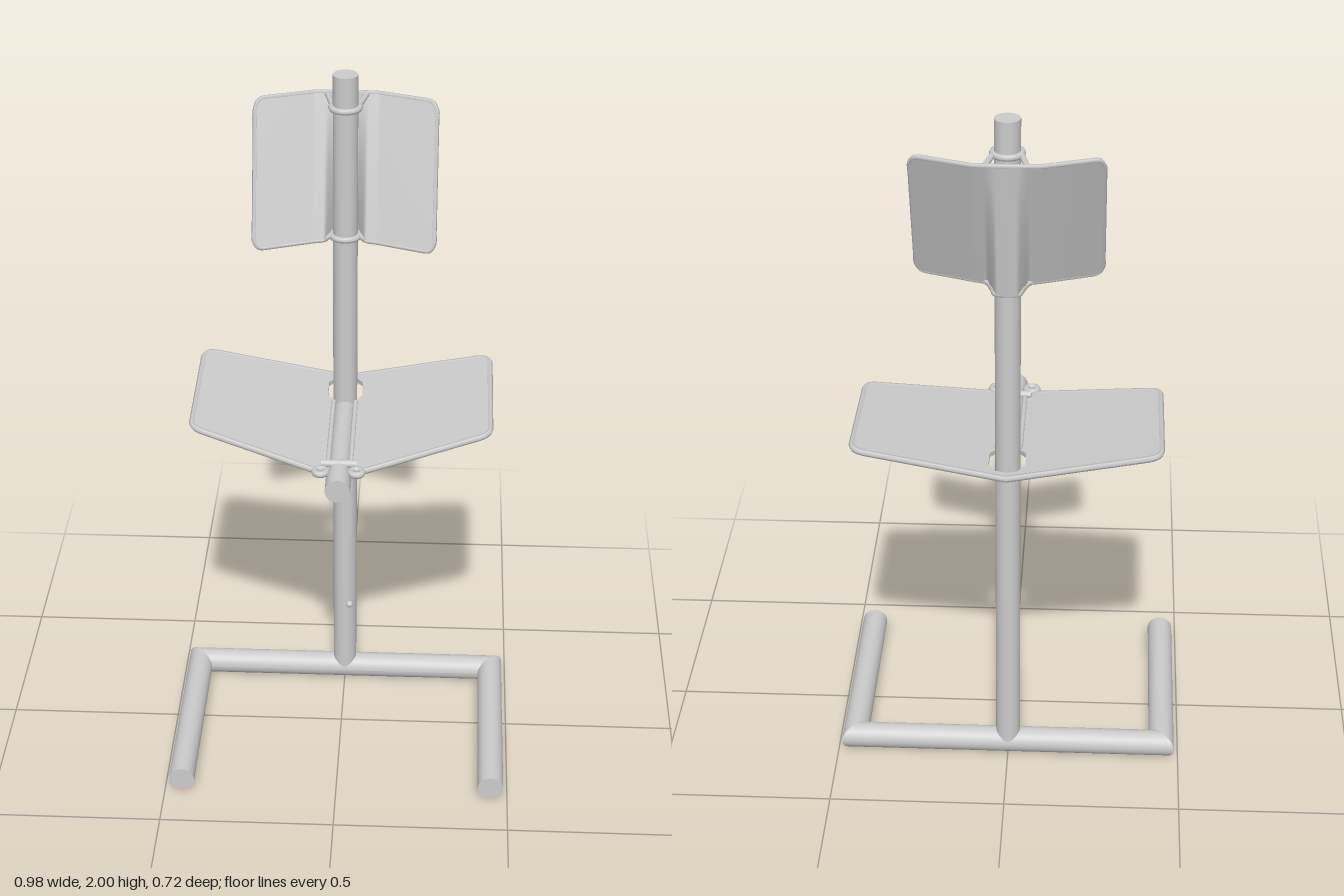
import * as THREE from 'three';

const mat = new THREE.MeshStandardMaterial({ color: 0xcccccc });
const R = 0.035, POST_Z = -0.239, BASE_Y = 0.038;

function add(parent, name, geo, x = 0, y = 0, z = 0) {
  const mesh = new THREE.Mesh(geo, mat);
  mesh.name = name;
  mesh.position.set(x, y, z);
  parent.add(mesh);
  return mesh;
}

// Move every vertex by a rule, then refresh the normals
function deform(geo, rule) {
  const p = geo.attributes.position, v = new THREE.Vector3();
  for (let i = 0; i < p.count; i++) {
    rule(v.fromBufferAttribute(p, i));
    p.setXYZ(i, v.x, v.y, v.z);
  }
  geo.computeVertexNormals();
  return geo;
}

// Round bar between two points
function bar(parent, name, a, b, r) {
  const from = new THREE.Vector3(...a), dir = new THREE.Vector3(...b).sub(from);
  const mesh = add(parent, name, new THREE.CylinderGeometry(r, r, dir.length(), 24));
  mesh.position.copy(from).addScaledVector(dir, 0.5);
  mesh.quaternion.setFromUnitVectors(new THREE.Vector3(0, 1, 0), dir.normalize());
  return mesh;
}

// Thin bead along a list of points
function bead(parent, name, pts, r, closed = false) {
  const curve = new THREE.CatmullRomCurve3(pts, closed);
  return add(parent, name, new THREE.TubeGeometry(curve, pts.length * 2, r, 6, closed));
}

function createBase() {
  const base = new THREE.Group();
  base.name = 'base';
  const r = 0.037, half = 0.451, front = 0.36;
  // Rear cross bar with mitred ends
  const cross = new THREE.CylinderGeometry(r, r, 2 * half, 32).rotateZ(Math.PI / 2);
  deform(cross, v => { v.x -= Math.sign(v.x) * v.z; });
  add(base, 'crossBar', cross, 0, BASE_Y, POST_Z);
  // Side legs running forward, mitred at the back
  const len = front - POST_Z;
  for (const s of [-1, 1]) {
    const leg = new THREE.CylinderGeometry(r, r, len, 32).rotateX(Math.PI / 2);
    deform(leg, v => { if (v.z < 0) v.z -= s * v.x; });
    add(base, s > 0 ? 'leftLeg' : 'rightLeg', leg, s * half, BASE_Y, POST_Z + len / 2);
  }
  return base;
}

// Height of the folded, tilted seat surface
const seatY = (x, z) => 0.985 + 0.19 * Math.abs(x) - 0.055 * z;

function createSeat() {
  const seat = new THREE.Group();
  seat.name = 'seat';
  for (const s of [-1, 1]) {
    const rim = path => {
      path.moveTo(0, -0.355);
      path.lineTo(s * 0.38, -0.355);
      path.quadraticCurveTo(s * 0.42, -0.355, s * 0.42, -0.315);
      path.lineTo(s * 0.42, 0.035);
      path.quadraticCurveTo(s * 0.42, 0.06, s * 0.39, 0.07);
      path.lineTo(s * 0.07, 0.157);
      return path;
    };
    // Half panel, notched so the two halves leave a slot for the post
    const shape = rim(new THREE.Shape());
    for (const [x, z] of [[0.05, 0.175], [0.03, 0.15], [0, 0.15], [0, 0.12], [0.03, 0.12], [0.03, -0.2],
      [0.05, -0.23], [0.05, -0.3], [0.03, -0.33], [0, -0.33]]) shape.lineTo(s * x, z);
    const geo = new THREE.ExtrudeGeometry(shape, { depth: 0.014, bevelEnabled: false, curveSegments: 8 });
    geo.rotateX(Math.PI / 2);
    add(seat, 'seatPanel', deform(geo, v => { v.y += seatY(v.x, v.z); }));
    // Rolled outer edge
    const pts = rim(new THREE.Path()).getSpacedPoints(70)
      .map(p => new THREE.Vector3(p.x, seatY(p.x, p.y) - 0.007, p.y));
    bead(seat, 'seatRim', pts, 0.009);
    // Rail beside the slot and rounded lug at its front
    bar(seat, 'seatRail', [s * 0.032, seatY(0.03, -0.2), -0.2], [s * 0.032, seatY(0.03, 0.13), 0.13], 0.007);
    const lug = add(seat, 'seatLug', new THREE.TorusGeometry(0.016, 0.01, 8, 20), s * 0.05, 0.988, 0.174);
    lug.rotation.x = Math.PI / 2;
  }
  bar(seat, 'frontBridge', [-0.05, 0.992, 0.135], [0.05, 0.992, 0.135], 0.011);
  return seat;
}

// Depth of the backrest: a channel behind the post blending into angled wings
const PROFILE = [[0, -0.283, -0.338], [0.03, -0.28, -0.338], [0.055, -0.205, -0.337],
  [0.09, -0.195, -0.335], [0.25, -0.136, -0.279]];
function backZ(x, t) {
  const ax = Math.abs(x);
  let i = 1;
  while (i < PROFILE.length - 1 && ax > PROFILE[i][0]) i++;
  const [x0, b0, t0] = PROFILE[i - 1], [x1, b1, t1] = PROFILE[i];
  const k = (ax - x0) / (x1 - x0), lerp = THREE.MathUtils.lerp;
  return lerp(lerp(b0, b1, k), lerp(t0, t1, k), t);
}

function createBackrest() {
  const back = new THREE.Group();
  back.name = 'backrest';
  const hw = 0.25, hh = 0.195, r = 0.025, midY = 1.713;
  const place = v => {
    const over = Math.min(r, Math.max(0, Math.abs(v.x) - (hw - r)));
    v.y *= (hh - r + Math.sqrt(r * r - over * over)) / hh;
    v.z += backZ(v.x, (v.y + hh) / (2 * hh));
    v.y += midY;
    return v;
  };
  add(back, 'backPanel', deform(new THREE.BoxGeometry(2 * hw, 2 * hh, 0.012, 100, 12, 1), place));
  // Rolled edge all round
  const pts = [], n = 50;
  for (let i = 0; i <= n; i++) pts.push(place(new THREE.Vector3(hw * (2 * i / n - 1), -hh, 0)));
  for (let i = 1; i < 12; i++) pts.push(place(new THREE.Vector3(hw, hh * (i / 6 - 1), 0)));
  for (let i = 0; i <= n; i++) pts.push(place(new THREE.Vector3(hw * (1 - 2 * i / n), hh, 0)));
  for (let i = 1; i < 12; i++) pts.push(place(new THREE.Vector3(-hw, hh * (1 - i / 6), 0)));
  bead(back, 'backRim', pts, 0.007, true);
  // Clamp rings on the post, the upper one tied to the panel
  for (const y of [1.52, 1.905]) {
    add(back, 'clampRing', new THREE.TorusGeometry(0.039, 0.009, 8, 32).rotateX(Math.PI / 2), 0, y, POST_Z);
  }
  for (const s of [-1, 1]) {
    bar(back, 'upperTie', [s * 0.036, 1.905, POST_Z - 0.01], [s * 0.055, 1.905, -0.335], 0.008);
    bar(back, 'lowerTie', [s * 0.036, 1.52, POST_Z], [s * 0.06, 1.52, -0.205], 0.008);
  }
  return back;
}

export function createModel() {
  const model = new THREE.Group();
  model.name = 'chair';
  model.add(createBase(), createSeat(), createBackrest());
  // Upright post with a small lock button
  bar(model, 'post', [0, BASE_Y, POST_Z], [0, 2, POST_Z], R);
  add(model, 'lockButton', new THREE.SphereGeometry(0.011, 12, 8), 0.015, 0.285, POST_Z + 0.032);
  // Arm under the seat with its end cap
  bar(model, 'seatArm', [0, 0.967, POST_Z], [0, 0.967, 0.24], 0.031);
  bar(model, 'armCap', [0, 0.967, 0.175], [0, 0.967, 0.245], R);
  return model;
}
